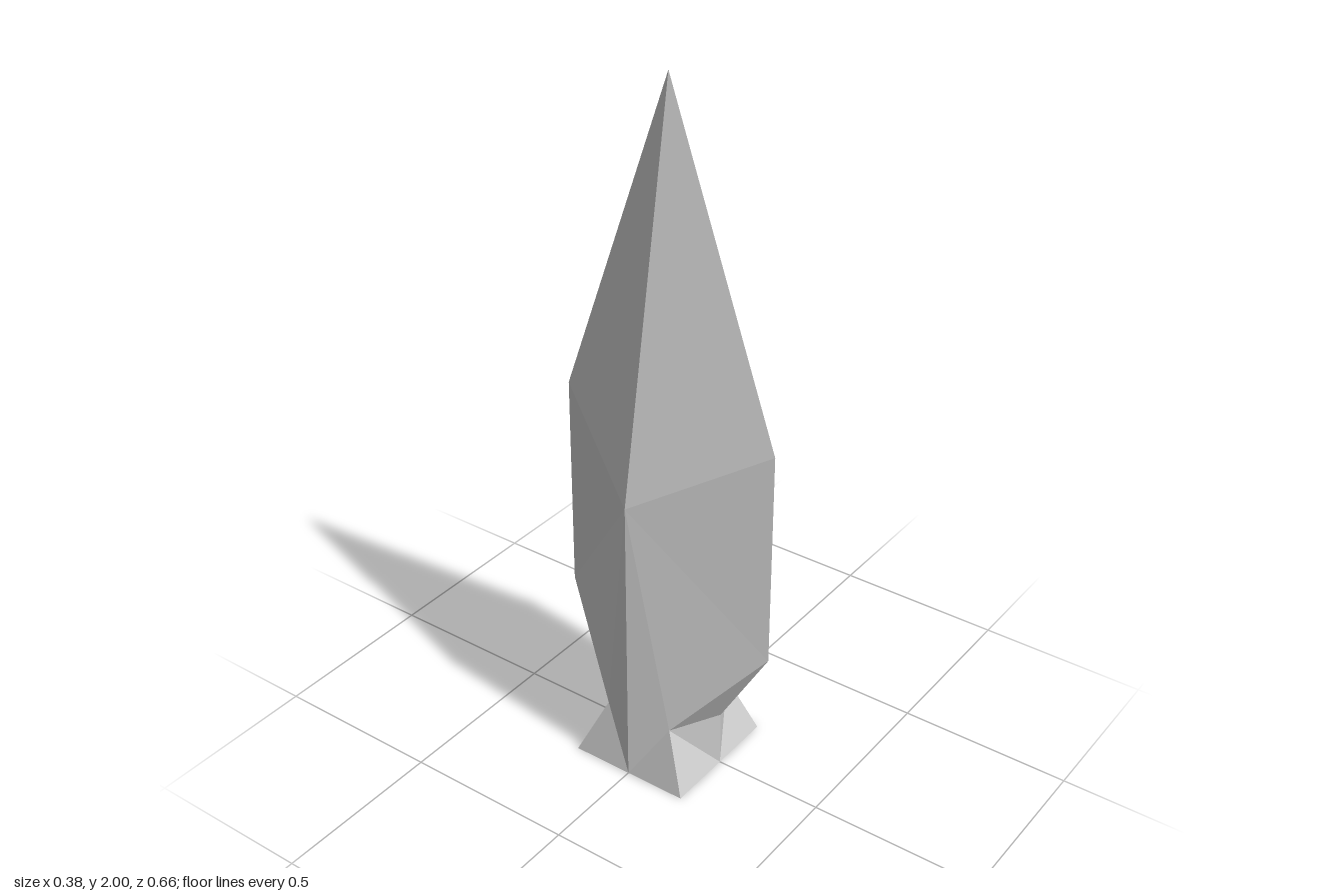
import * as THREE from 'three';

// Corner points of one quarter (+x, +z); the other three are mirrored
const P = {
  apex: [0, 2, 0],
  sideShoulder: [0.19, 0.88, 0],
  frontShoulder: [0, 1.06, 0.33],
  keelEnd: [0, 0.425, 0.33],
  waist: [0.14, 0.17, 0.105],
  waistMid: [0, 0.17, 0.18],
  footCorner: [0.19, 0, 0.18],
  footFront: [0, 0, 0.18],
  footSide: [0.19, 0, 0],
  footCentre: [0, 0, 0],
};

// Mirrors the quarter's triangles in x and z, flipping the corner order where needed
function mirroredMesh(name, triangles, material) {
  const positions = [];
  for (const sx of [1, -1]) {
    for (const sz of [1, -1]) {
      for (const [a, b, c] of triangles) {
        const order = sx * sz > 0 ? [a, b, c] : [a, c, b];
        for (const key of order) {
          const [x, y, z] = P[key];
          positions.push(x * sx, y, z * sz);
        }
      }
    }
  }
  const geometry = new THREE.BufferGeometry();
  geometry.setAttribute('position', new THREE.Float32BufferAttribute(positions, 3));
  geometry.computeVertexNormals();
  const mesh = new THREE.Mesh(geometry, material);
  mesh.name = name;
  return mesh;
}

export function createModel() {
  const group = new THREE.Group();
  group.name = 'spire';
  const material = new THREE.MeshStandardMaterial({ color: 0xcccccc, flatShading: true });

  // Long four-sided point
  group.add(mirroredMesh('tip', [['apex', 'frontShoulder', 'sideShoulder']], material));

  // Diamond-section shaft running down to the foot on its sides
  group.add(mirroredMesh('shaft', [
    ['frontShoulder', 'keelEnd', 'sideShoulder'],
    ['keelEnd', 'waist', 'sideShoulder'],
    ['waist', 'footSide', 'sideShoulder'],
  ], material));

  // Undercut below the front and back keels
  group.add(mirroredMesh('undercut', [['keelEnd', 'waistMid', 'waist']], material));

  // Flared foot with a flat underside
  group.add(mirroredMesh('foot', [
    ['waistMid', 'footFront', 'waist'],
    ['footFront', 'footCorner', 'waist'],
    ['waist', 'footCorner', 'footSide'],
    ['footCentre', 'footSide', 'footCorner'],
    ['footCentre', 'footCorner', 'footFront'],
  ], material));

  return group;
}
